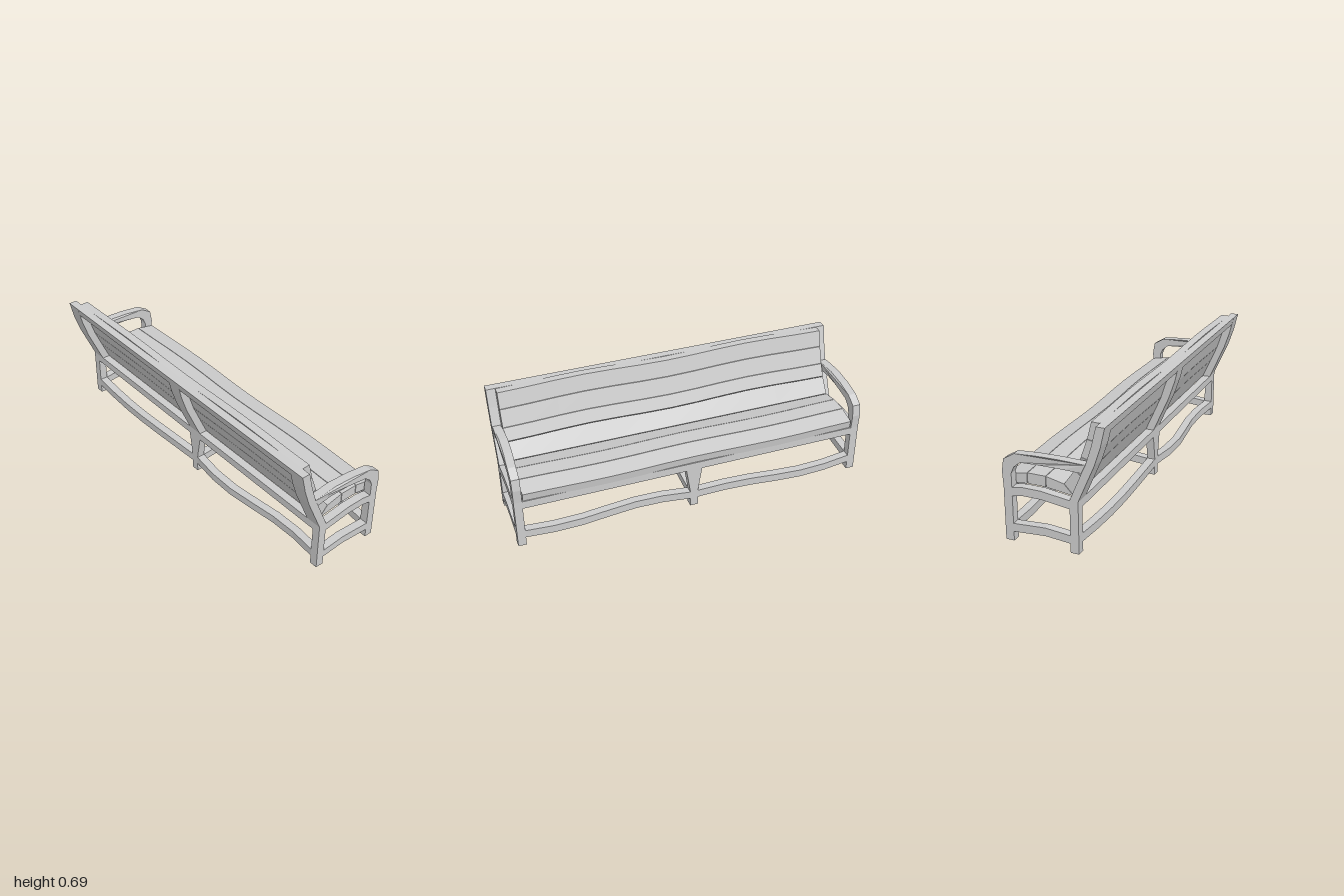
import * as THREE from 'three';

const material = new THREE.MeshStandardMaterial({ color: 0xcccccc, flatShading: true });
const CX = 0.0025, HALF = 0.9925, W = 0.045;

export function createModel() {
  const group = new THREE.Group();
  group.name = 'bench';

  const add = (name, geometry) => {
    geometry.computeVertexNormals();
    const mesh = new THREE.Mesh(geometry, material);
    mesh.name = name;
    group.add(mesh);
    return mesh;
  };
  const outline = (pts) => new THREE.Shape(pts.map(([a, b]) => new THREE.Vector2(a, b)));

  // Side profile given as [z, y], extruded across x0..x1
  const sidePrism = (name, pts, x0, x1) => {
    const g = new THREE.ExtrudeGeometry(outline(pts), { depth: x1 - x0, bevelEnabled: false });
    g.rotateY(-Math.PI / 2).translate(x1, 0, 0);
    return add(name, g);
  };

  // Four-sided beam along x. Corners [z, y]: upper +z, upper -z, lower -z, lower +z.
  // sway(t, x, corner) gives the [dz, dy] offset along the length.
  const beam = (name, x0, x1, corners, segments = 1, sway = () => [0, 0]) => {
    const g = new THREE.BoxGeometry(1, 1, 1, segments, 1, 1);
    const p = g.attributes.position;
    for (let i = 0; i < p.count; i++) {
      const t = p.getX(i) + 0.5, x = x0 + (x1 - x0) * t;
      const c = p.getY(i) > 0 ? (p.getZ(i) > 0 ? 0 : 1) : (p.getZ(i) > 0 ? 3 : 2);
      const [dz, dy] = sway(t, x, c);
      p.setXYZ(i, x, corners[c][1] + dy, corners[c][0] + dz);
    }
    return add(name, g);
  };
  const rect = (z0, z1, y0, y1) => [[z1, y1], [z0, y1], [z0, y0], [z1, y0]];

  // Profiles shared by the frames
  const upright = [[0.139, 0.28], [0.225, 0.48], [0.258, 0.58], [0.281, 0.68],
    [0.236, 0.68], [0.212, 0.58], [0.181, 0.48], [0.16, 0.435], [0.094, 0.28]];
  const seatRail = [[0.094, 0.235], [-0.06, 0.255], [-0.16, 0.255], [-0.215, 0.245],
    [-0.215, 0.29], [-0.16, 0.3], [-0.06, 0.3], [0.094, 0.28]];
  const crossStretcher = [[0.094, 0.05], [-0.04, 0.062], [-0.215, 0.05],
    [-0.215, 0.095], [-0.04, 0.106], [0.094, 0.093]];
  const arm = [[0.181, 0.48], [0.13, 0.483], [0.04, 0.487], [-0.08, 0.483], [-0.195, 0.472],
    [-0.255, 0.435], [-0.265, 0.37], [-0.26, 0.29], [-0.215, 0.29], [-0.215, 0.365],
    [-0.2, 0.4], [-0.165, 0.43], [-0.07, 0.438], [0.065, 0.44], [0.16, 0.435]];

  // End frames: legs, upright, curved arm and cross members
  for (const side of [-1, 1]) {
    const outer = CX + side * HALF, inner = outer - side * W, wide = outer - side * 0.09;
    const lo = Math.min(outer, inner), hi = Math.max(outer, inner);
    const label = side > 0 ? 'left' : 'right';
    sidePrism(label + 'BackLeg', [[0.094, 0], [0.139, 0], [0.139, 0.28], [0.094, 0.28]], lo, hi);
    sidePrism(label + 'FrontLeg', [[-0.26, 0], [-0.215, 0], [-0.215, 0.29], [-0.26, 0.29]], lo, hi);
    sidePrism(label + 'Upright', upright, Math.min(outer, wide), Math.max(outer, wide));
    sidePrism(label + 'SeatRail', seatRail, lo, hi);
    sidePrism(label + 'LowerCrossRail', crossStretcher, lo, hi);
    const armMesh = sidePrism(label + 'Arm', arm, lo, hi);
    // The arm bows gently sideways at mid length
    const p = armMesh.geometry.attributes.position;
    for (let i = 0; i < p.count; i++) {
      if (p.getY(i) < 0.41) continue;
      p.setX(i, p.getX(i) - 0.01 * Math.max(0, 1 - ((p.getZ(i) - 0.02) / 0.18) ** 2));
    }
    armMesh.geometry.computeVertexNormals();
  }

  // Centre frame: legs flaring up to the seat, upright and cross members
  const flaredLeg = (name, z0, top) => {
    const h = 0.0225, f = 0.045;
    const g = new THREE.ExtrudeGeometry(outline([[-h, 0], [h, 0], [h, 0.1], [f, top - 0.045],
      [f, top], [-f, top], [-f, top - 0.045], [-h, 0.1]]), { depth: W, bevelEnabled: false });
    g.translate(CX, 0, z0);
    add(name, g);
  };
  flaredLeg('centreBackLeg', 0.094, 0.28);
  flaredLeg('centreFrontLeg', -0.26, 0.29);
  sidePrism('centreUpright', upright, CX - 0.045, CX + 0.045);
  sidePrism('centreSeatRail', seatRail, CX - W / 2, CX + W / 2);
  sidePrism('centreLowerCrossRail', crossStretcher, CX - W / 2, CX + W / 2);

  // Long straight rails
  const end = HALF - W;
  beam('backSeatRail', CX - end, CX + end, rect(0.094, 0.139, 0.237, 0.28));
  beam('frontSeatRail', CX - end, CX + end, rect(-0.26, -0.215, 0.245, 0.29));
  beam('topRail', CX - HALF + 0.09, CX + HALF - 0.09,
    [[0.281, 0.68], [0.236, 0.68], [0.225, 0.635], [0.27, 0.635]]);

  // Low stretchers, each bay bent its own way
  const bays = [
    ['frontStretcherRight', -1, -0.26, -0.014, 2, -0.02, 1],
    ['frontStretcherLeft', 1, -0.26, 0.008, 1, 0.02, 2],
    ['backStretcherRight', -1, 0.094, -0.004, 2, 0.02, 1],
    ['backStretcherLeft', 1, 0.094, -0.01, 1, 0.02, 2],
  ];
  for (const [name, side, z0, ay, ny, az, nz] of bays) {
    const a = CX + side * end, b = CX + side * W / 2;
    beam(name, Math.min(a, b), Math.max(a, b), rect(z0, z0 + W, 0.05, 0.095), 6,
      (t) => [az * Math.sin(Math.PI * nz * t), ay * Math.sin(Math.PI * ny * t)]);
  }

  // Wavy planks: one chain from the top of the back down to the seat's front edge
  const under = [[0.236, 0.679], [0.212, 0.58], [0.181, 0.48], [0.14, 0.385], [0.094, 0.28],
    [-0.056, 0.3], [-0.156, 0.3], [-0.255, 0.288]];
  const face = [[0.191, 0.68], [0.167, 0.587], [0.133, 0.49], [0.102, 0.42], [0.042, 0.335],
    [-0.056, 0.357], [-0.156, 0.357], [-0.262, 0.335]];
  const wave = (x) => 0.5 - 0.5 * Math.cos((2 * Math.PI * x) / 0.96);
  const mix = (a, b, t) => [a[0] + (b[0] - a[0]) * t, a[1] + (b[1] - a[1]) * t];
  // Seam k shifts along the chain; the crease where back meets seat stays still
  const shift = (k, x) => {
    const w = 0.011 * wave(x);
    if (k < 4) return [w * 0.3, w];
    return k === 4 ? [0, 0] : [-w, 0];
  };
  const gap = 0.015;
  for (let k = 0; k < 7; k++) {
    const u0 = mix(under[k], under[k + 1], gap), u1 = mix(under[k], under[k + 1], 1 - gap);
    const f0 = mix(face[k], face[k + 1], gap), f1 = mix(face[k], face[k + 1], 1 - gap);
    const back = k < 4;
    const corners = back ? [u0, f0, f1, u1] : [f0, f1, u1, u0];
    const seam = back ? [k, k, k + 1, k + 1] : [k, k + 1, k + 1, k];
    beam(back ? 'backPlank' + (k + 1) : 'seatPlank' + (k - 3), CX - 0.942, CX + 0.942,
      corners, 12, (t, x, c) => shift(seam[c], x));
  }

  return group;
}
